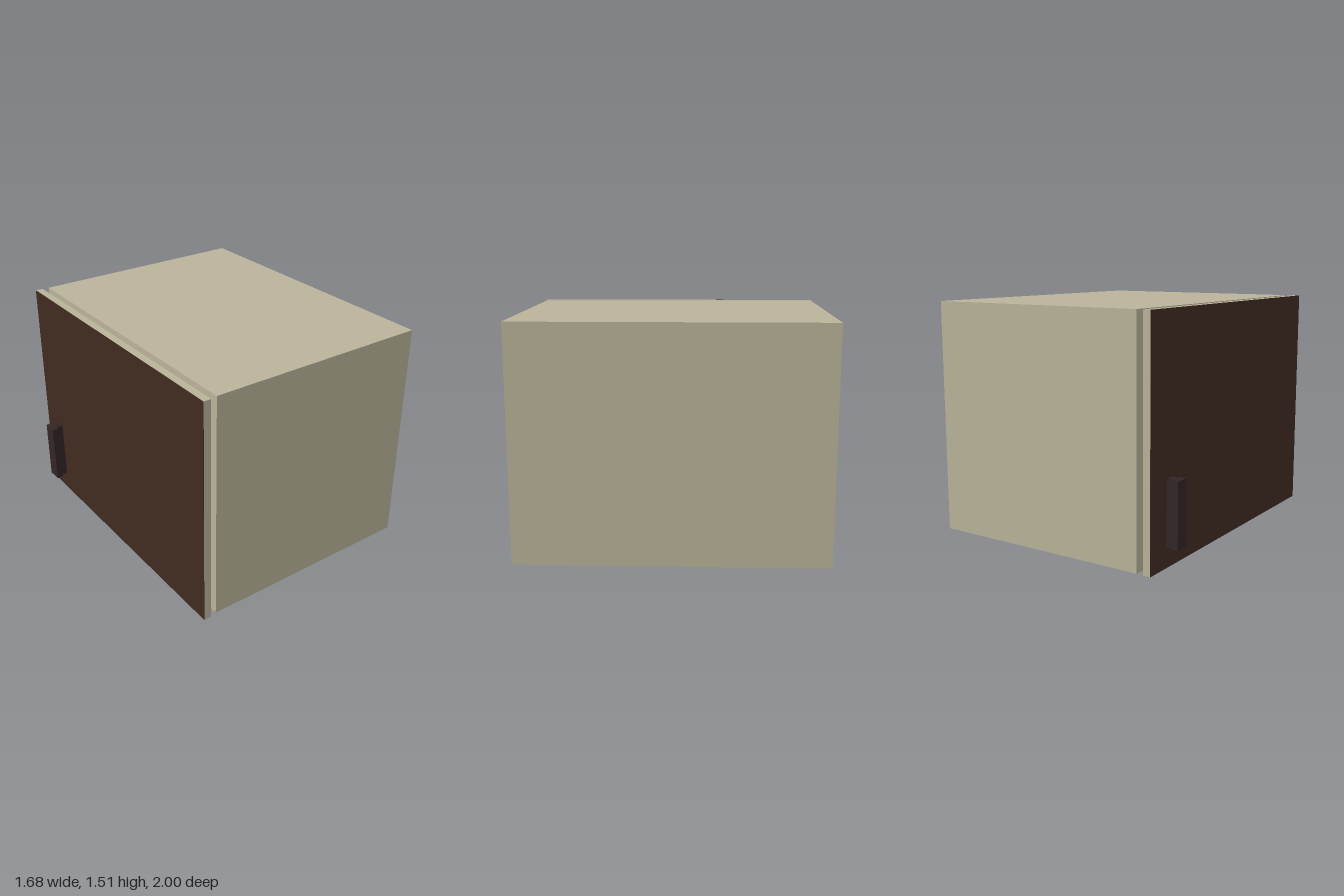
import * as THREE from 'three';

const beige = new THREE.MeshStandardMaterial({ color: 0xbab49a, flatShading: true });
const brown = new THREE.MeshStandardMaterial({ color: 0x412b21, flatShading: true });
const dark = new THREE.MeshStandardMaterial({ color: 0x332526, flatShading: true });

const H = 1.51; // overall height

// Box given by its minimum and maximum on each axis
function box(name, material, [x0, x1], [y0, y1], [z0, z1]) {
  const mesh = new THREE.Mesh(new THREE.BoxGeometry(x1 - x0, y1 - y0, z1 - z0), material);
  mesh.position.set((x0 + x1) / 2, (y0 + y1) / 2, (z0 + z1) / 2);
  mesh.name = name;
  return mesh;
}

// Rectangular neck along x: each station is [x, inset in y, inset in z]
function neck(name, material, stations) {
  const n = stations.length - 1;
  const geometry = new THREE.BoxGeometry(n, 2, 2, n, 1, 1);
  const p = geometry.attributes.position;
  for (let i = 0; i < p.count; i++) {
    const [x, dy, dz] = stations[Math.round(p.getX(i) + n / 2)];
    p.setXYZ(i, x, H / 2 + p.getY(i) * (H / 2 - dy), p.getZ(i) * (1 - dz));
  }
  geometry.computeVertexNormals();
  const mesh = new THREE.Mesh(geometry, material);
  mesh.name = name;
  return mesh;
}

export function createModel() {
  const model = new THREE.Group();
  model.name = 'cabinet';

  // Main cabinet
  model.add(box('cabinetBody', beige, [-0.66, 0.84], [0, H], [-0.995, 0.99]));

  // Bevelled back of the door and the recessed seal behind it
  model.add(neck('doorSeal', beige, [
    [-0.705, 0, 0], [-0.685, 0.06, 0.075], [-0.665, 0.06, 0.075], [-0.66, 0.04, 0.05],
  ]));

  // Door slab with its brown face
  const door = new THREE.Group();
  door.name = 'door';
  door.add(box('doorSlab', beige, [-0.753, -0.705], [0, H], [-1, 1]));
  door.add(box('doorFace', brown, [-0.755, -0.753], [0, H], [-1, 1]));
  model.add(door);

  // T-shaped handle
  const handle = new THREE.Group();
  handle.name = 'handle';
  handle.add(box('handleStem', dark, [-0.8, -0.755], [0.13, 0.54], [-0.825, -0.775]));
  handle.add(box('handleGrip', dark, [-0.845, -0.8], [0.13, 0.54], [-0.85, -0.75]));
  model.add(handle);

  return model;
}
